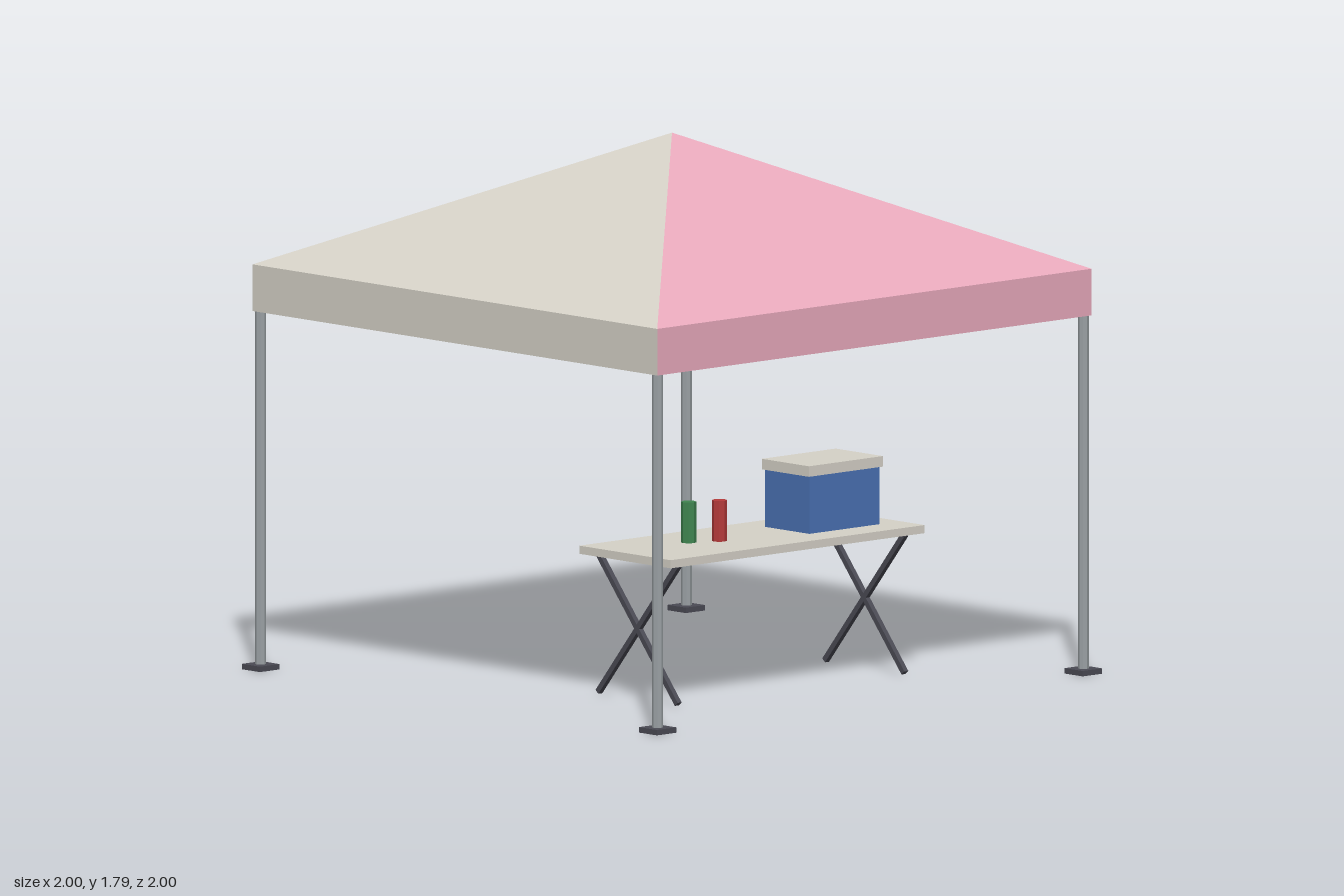
import * as THREE from 'three';

const mat = (color, extra = {}) => {
  const m = new THREE.MeshStandardMaterial({ flatShading: true, ...extra });
  m.color.set(color);
  return m;
};

export function createModel() {
  const root = new THREE.Group();
  const pink = mat(0xe8a9bc, { side: THREE.DoubleSide });
  const cream = mat(0xd6d2c8, { side: THREE.DoubleSide });
  const steel = mat(0x9aa0a4);
  const dark = mat(0x4a4a54);
  const blue = mat(0x4a72b4);

  const add = (parent, name, geometry, material, x, y, z) => {
    const mesh = new THREE.Mesh(geometry, material);
    mesh.name = name;
    mesh.position.set(x, y, z);
    parent.add(mesh);
    return mesh;
  };
  const group = (name) => {
    const g = new THREE.Group();
    g.name = name;
    root.add(g);
    return g;
  };
  // Flat sheet from a fan of corners, counter-clockwise from outside
  const sheet = (corners) => {
    const g = new THREE.BufferGeometry();
    const fan = [];
    for (let i = 1; i < corners.length - 1; i++) fan.push(...corners[0], ...corners[i], ...corners[i + 1]);
    g.setAttribute('position', new THREE.Float32BufferAttribute(fan, 3));
    g.computeVertexNormals();
    return g;
  };

  // Canopy: four sloping panels with hanging valances, alternating colours
  const W = 0.975, HEM = 1.19, EAVE = 1.345, PEAK = 1.79;
  const roof = sheet([[-W, EAVE, W], [W, EAVE, W], [0, PEAK, 0]]);
  const skirt = sheet([[-W, HEM, W], [W, HEM, W], [W, EAVE, W], [-W, EAVE, W]]);
  const canopy = group('canopy');
  ['front', 'left', 'back', 'right'].forEach((side, i) => {
    const cloth = i % 2 ? cream : pink;
    add(canopy, side + 'RoofPanel', roof, cloth, 0, 0, 0).rotation.y = i * Math.PI / 2;
    add(canopy, side + 'Valance', skirt, cloth, 0, 0, 0).rotation.y = i * Math.PI / 2;
  });

  // Corner poles on square feet
  const frame = group('frame');
  const pole = new THREE.CylinderGeometry(0.018, 0.018, 1.32, 8);
  const foot = new THREE.BoxGeometry(0.087, 0.018, 0.087);
  for (const x of [-0.956, 0.956]) {
    for (const z of [-0.956, 0.956]) {
      add(frame, 'pole', pole, steel, x, 0.67, z);
      add(frame, 'foot', foot, dark, x, 0.009, z);
    }
  }

  // Folding table with crossed legs
  const table = group('table');
  const TZ = 0.385;
  add(table, 'tableTop', new THREE.BoxGeometry(1.14, 0.027, 0.44), cream, 0, 0.481, TZ);
  const rise = 0.46, run = 0.382;
  const leg = new THREE.BoxGeometry(0.018, Math.hypot(rise, run), 0.018);
  for (const x of [-0.509, 0.509]) {
    for (const s of [-1, 1]) {
      add(table, 'crossedLeg', leg, dark, x, 0.237, TZ).rotation.x = s * Math.atan2(run, rise);
    }
  }

  // Cool box with an overhanging lid
  const coolBox = group('coolBox');
  add(coolBox, 'coolBoxBody', new THREE.BoxGeometry(0.316, 0.192, 0.214), blue, 0.318, 0.59, 0.383);
  add(coolBox, 'coolBoxLid', new THREE.BoxGeometry(0.332, 0.035, 0.227), cream, 0.318, 0.703, 0.383);

  // Drinks
  const drink = new THREE.CylinderGeometry(0.025, 0.025, 0.136, 8);
  add(root, 'greenDrink', drink, mat(0x3f8550), -0.257, 0.562, 0.356);
  add(root, 'redDrink', drink, mat(0xb53a3a), -0.16, 0.562, 0.40);

  return root;
}
